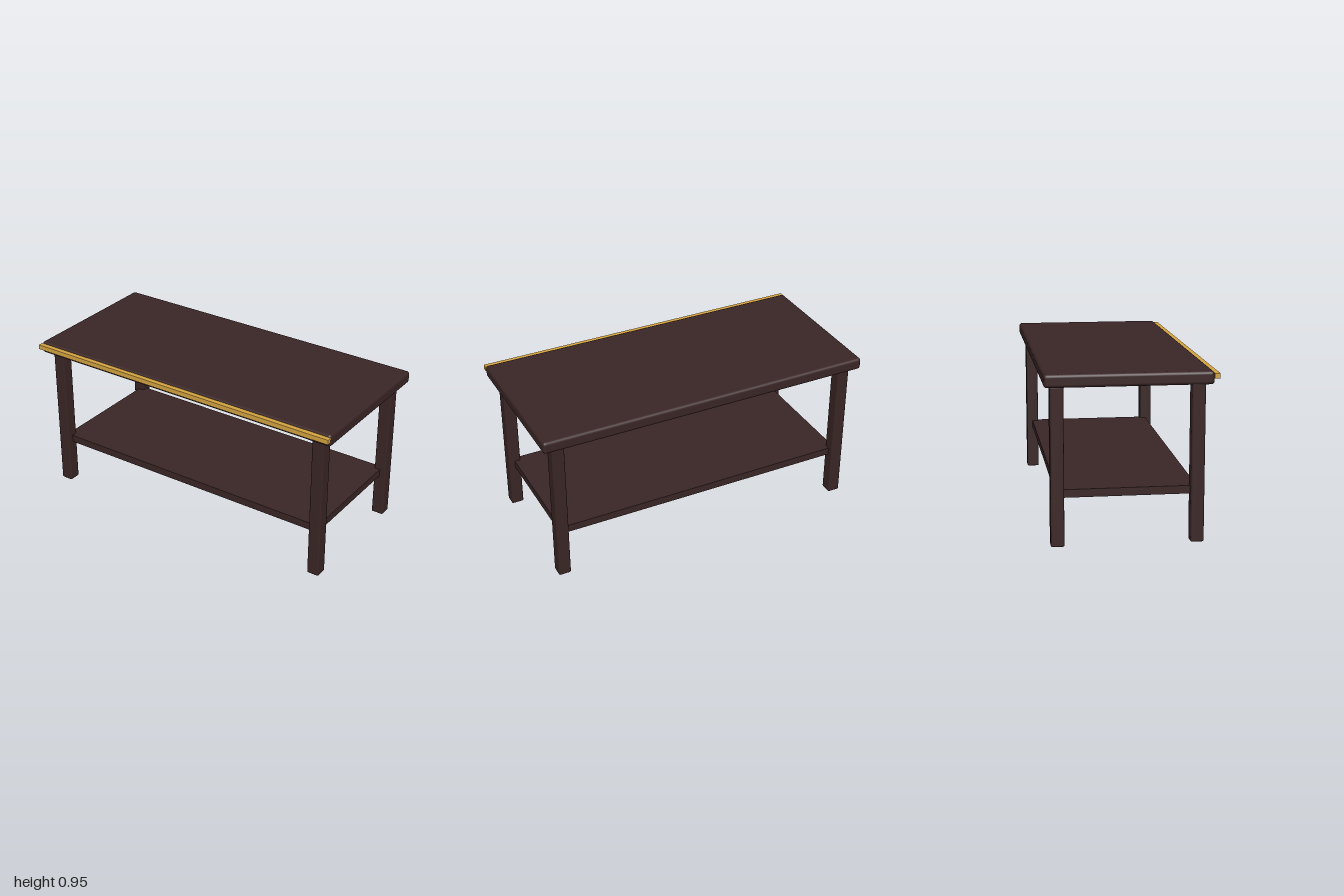
import * as THREE from 'three';
import { RoundedBoxGeometry } from 'three/addons/geometries/RoundedBoxGeometry.js';

export function createModel() {
  const wood = new THREE.MeshStandardMaterial({ color: 0x3a2525 });
  wood.name = 'dark wood';
  const brass = new THREE.MeshStandardMaterial({ color: 0xd4a340 });
  brass.name = 'brass';

  const table = new THREE.Group();
  table.name = 'table';

  function add(name, geometry, material, x, y, z) {
    const mesh = new THREE.Mesh(geometry, material);
    mesh.name = name;
    mesh.position.set(x, y, z);
    table.add(mesh);
  }

  const centerZ = -0.0135; // the trim in front pushes the table slightly back
  const legX = 0.905, legZ = 0.381;

  // Thick table top with softened edges
  add('tableTop', new RoundedBoxGeometry(2, 0.072, 0.906, 3, 0.018), wood, 0, 0.916, centerZ);

  // Trim strip along the front edge
  add('frontTrim', new THREE.BoxGeometry(2, 0.028, 0.029), brass, 0, 0.927, 0.4525);

  // Four legs
  const legGeometry = new RoundedBoxGeometry(0.074, 0.878, 0.074, 2, 0.009);
  for (const [side, sx] of [['left', 1], ['right', -1]]) {
    for (const [end, sz] of [['Front', 1], ['Back', -1]]) {
      add(`${side}${end}Leg`, legGeometry, wood, sx * legX, 0.439, centerZ + sz * legZ);
    }
  }

  // Lower shelf, its corners let into the middle of the legs
  add('shelf', new THREE.BoxGeometry(legX * 2, 0.045, legZ * 2), wood, 0, 0.2875, centerZ);

  return table;
}
